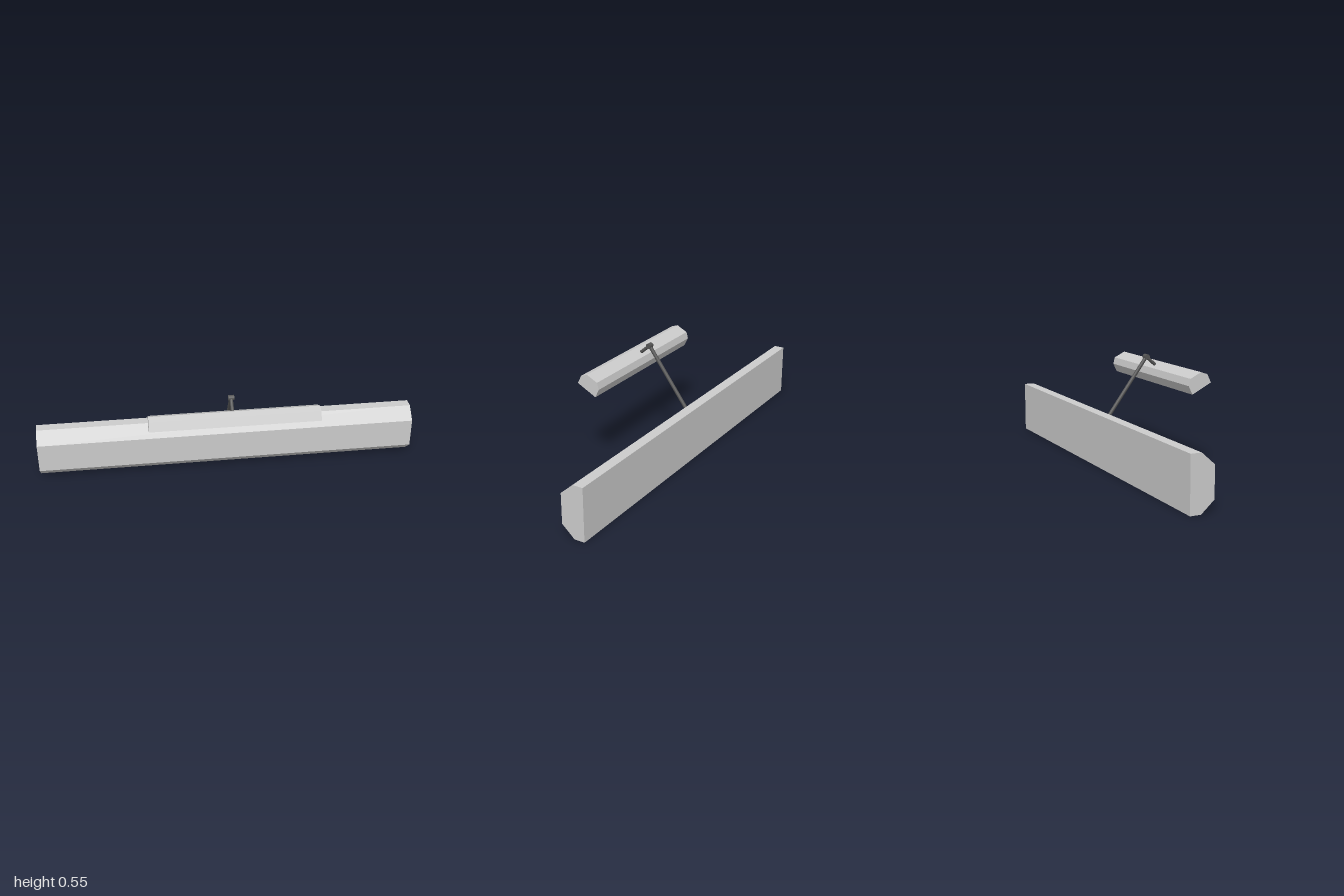
import * as THREE from 'three';

const grey = new THREE.MeshStandardMaterial({ color: 0xcccccc, flatShading: true });
const tubeGrey = new THREE.MeshStandardMaterial({ color: 0xcccccc });
const dark = new THREE.MeshStandardMaterial({ color: 0x555555 });

// Extrudes a [z, y] profile along x, centred on x.
function bar(name, points, width, x = 0) {
  const shape = new THREE.Shape(points.map(([z, y]) => new THREE.Vector2(z, y)));
  const geo = new THREE.ExtrudeGeometry(shape, { depth: width, bevelEnabled: false });
  geo.translate(0, 0, -width / 2).rotateY(-Math.PI / 2).translate(x, 0, 0);
  const mesh = new THREE.Mesh(geo, grey);
  mesh.name = name;
  return mesh;
}

// Round rod between two points.
function rod(name, from, to, radius, material) {
  const a = new THREE.Vector3(...from);
  const b = new THREE.Vector3(...to);
  const dir = b.clone().sub(a);
  const mesh = new THREE.Mesh(new THREE.CylinderGeometry(radius, radius, dir.length(), 20), material);
  mesh.position.copy(a).add(b).multiplyScalar(0.5);
  mesh.quaternion.setFromUnitVectors(new THREE.Vector3(0, 1, 0), dir.normalize());
  mesh.name = name;
  return mesh;
}

export function createModel() {
  const model = new THREE.Group();
  model.name = 'wallLamp';

  // Long base with chamfered front edges
  model.add(bar('base', [
    [-0.218, 0], [-0.164, 0], [-0.099, 0.059], [-0.099, 0.213], [-0.164, 0.271], [-0.218, 0.271],
  ], 2));

  // Bent arm with a pivot at the top
  const armX = -0.008;
  const arm = new THREE.Group();
  arm.name = 'arm';
  arm.add(
    rod('longArm', [armX, 0.232, -0.145], [armX, 0.54, 0.08], 0.0095, dark),
    rod('shortArm', [armX, 0.54, 0.08], [armX, 0.496, 0.131], 0.0085, dark),
    rod('pivot', [armX - 0.015, 0.54, 0.08], [armX + 0.015, 0.54, 0.08], 0.0135, dark),
  );
  model.add(arm);

  // Tilted shade: thin shell open underneath, closed by end caps
  const outer = [
    [0.219, 0.457], [0.198, 0.499], [0.163, 0.511], [0.105, 0.482], [0.096, 0.447], [0.117, 0.404],
  ];
  const inner = [
    [0.215, 0.455], [0.195, 0.495], [0.163, 0.506], [0.109, 0.479], [0.1, 0.447], [0.121, 0.406],
  ];
  const wall = 0.005;
  const shade = new THREE.Group();
  shade.name = 'shade';
  shade.add(bar('shadeShell', [...outer, ...inner.reverse()], 0.85 - 2 * wall));
  for (const side of [-1, 1]) {
    shade.add(bar(side > 0 ? 'leftEndCap' : 'rightEndCap', outer, wall, side * (0.425 - wall / 2)));
  }

  // Light tube inside the shade
  shade.add(rod('lightTube', [-0.42, 0.452, 0.155], [0.42, 0.452, 0.155], 0.02, tubeGrey));
  model.add(shade);

  return model;
}
